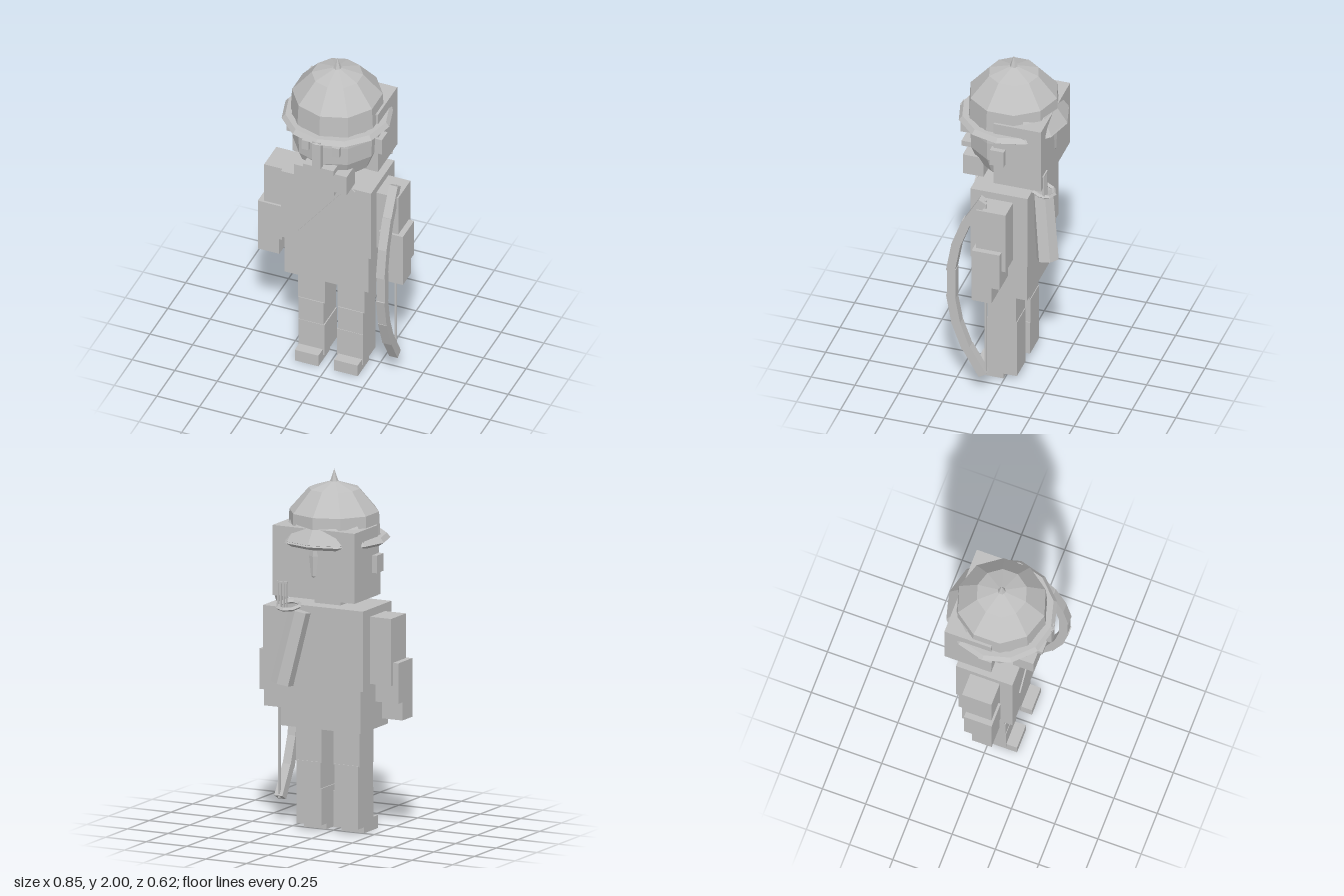
import * as THREE from 'three';

const grey = new THREE.MeshStandardMaterial({ color: 0xbfbfbf, flatShading: true, side: THREE.DoubleSide });
grey.name = 'plain grey';

function add(parent, name, geometry) {
  const mesh = new THREE.Mesh(geometry, grey);
  mesh.name = name;
  parent.add(mesh);
  return mesh;
}

// Box given by its lower and upper limits on each axis
function box(parent, name, x0, x1, y0, y1, z0, z1) {
  const mesh = add(parent, name, new THREE.BoxGeometry(x1 - x0, y1 - y0, z1 - z0));
  mesh.position.set((x0 + x1) / 2, (y0 + y1) / 2, (z0 + z1) / 2);
  return mesh;
}

// Matching boxes on both sides of the body
function pair(parent, name, x0, x1, ...rest) {
  box(parent, name + 'Left', x0, x1, ...rest);
  box(parent, name + 'Right', -x1, -x0, ...rest);
}

// Faceted surface of revolution about the head's axis, profile from bottom to top
function turned(parent, name, profile, sides, start = 0, sweep = Math.PI * 2) {
  const points = profile.map(([r, y]) => new THREE.Vector2(r, y));
  const mesh = add(parent, name, new THREE.LatheGeometry(points, sides, start, sweep));
  mesh.position.z = 0.008;
  return mesh;
}

// Prism or cone between two points
function rod(parent, name, a, b, rTop, rBottom, sides) {
  const from = new THREE.Vector3(...a), to = new THREE.Vector3(...b);
  const dir = to.clone().sub(from);
  const mesh = add(parent, name, new THREE.CylinderGeometry(rTop, rBottom, dir.length(), sides));
  mesh.position.copy(from).add(to).multiplyScalar(0.5);
  mesh.quaternion.setFromUnitVectors(new THREE.Vector3(0, 1, 0), dir.normalize());
  return mesh;
}

function group(parent, name) {
  const g = new THREE.Group();
  g.name = name;
  parent.add(g);
  return g;
}

export function createModel() {
  const model = new THREE.Group();
  model.name = 'archer';

  // Legs and feet
  const legs = group(model, 'legs');
  pair(legs, 'thigh', 0.037, 0.195, 0.38, 0.6, -0.068, 0.095);
  pair(legs, 'knee', 0.043, 0.19, 0.23, 0.385, -0.072, 0.1);
  pair(legs, 'shin', 0.037, 0.19, 0.035, 0.238, -0.072, 0.103);
  pair(legs, 'foot', 0.046, 0.185, 0, 0.072, 0.005, 0.165);

  // Tunic
  const body = group(model, 'body');
  box(body, 'torso', -0.265, 0.265, 0.82, 1.265, -0.158, 0.168);
  box(body, 'skirt', -0.247, 0.247, 0.585, 0.83, -0.15, 0.163);
  box(body, 'neck', -0.08, 0.08, 1.25, 1.32, -0.07, 0.09);
  const strap = add(body, 'chestStrap', new THREE.BoxGeometry(0.046, 0.49, 0.012));
  strap.position.set(0.005, 1.072, 0.17);
  strap.rotation.z = -0.66;

  // Arms
  const arms = group(model, 'arms');
  pair(arms, 'upperArm', 0.26, 0.394, 0.85, 1.222, -0.075, 0.095);
  pair(arms, 'forearm', 0.285, 0.426, 0.75, 0.975, -0.052, 0.108);
  pair(arms, 'hand', 0.3, 0.426, 0.65, 0.755, -0.005, 0.108);

  // Head
  const head = group(model, 'head');
  turned(head, 'skull', [[0, 1.27], [0.14, 1.298], [0.205, 1.355], [0.243, 1.45], [0.247, 1.56], [0.24, 1.64]], 10);
  box(head, 'hair', -0.252, 0.252, 1.32, 1.708, -0.23, 0.04);
  pair(head, 'ear', 0.24, 0.28, 1.455, 1.552, -0.027, 0.053);
  pair(head, 'eye', 0.068, 0.11, 1.518, 1.576, 0.19, 0.248);
  box(head, 'moustache', -0.09, 0.09, 1.41, 1.442, 0.2, 0.277);
  box(head, 'beard', -0.155, 0.155, 1.278, 1.4, 0.13, 0.248);
  box(head, 'beardTip', -0.08, 0.08, 1.25, 1.3, 0.14, 0.248);

  // Helmet
  const helmet = group(model, 'helmet');
  turned(helmet, 'dome', [[0.255, 1.62], [0.247, 1.772], [0.14, 1.895], [0, 1.94]], 10);
  turned(helmet, 'brim', [[0.25, 1.63], [0.275, 1.6], [0.305, 1.62], [0.285, 1.645], [0.25, 1.645]], 12);
  turned(helmet, 'neckGuard', [[0.26, 1.61], [0.303, 1.63], [0.24, 1.722], [0.2, 1.715]],
    4, Math.PI * 2 / 3, Math.PI * 2 / 3);
  box(helmet, 'noseGuard', -0.025, 0.025, 1.455, 1.632, 0.273, 0.305);
  rod(helmet, 'spike', [0, 1.915, 0.008], [0, 2, 0.008], 0, 0.029, 6);

  // Bow of seven straight links, bent back toward its tips
  const bow = group(model, 'bow');
  bow.position.set(0.36, 0.705, 0);
  const reach = [0.238, 0.228, 0.185, 0.106];
  const rise = [0, 0.167, 0.331, 0.489];
  for (let i = -3; i <= 3; i++) {
    const k = Math.abs(i);
    const link = add(bow, 'bowLink', new THREE.BoxGeometry(0.05, 0.185, 0.05));
    link.position.set(0, Math.sign(i) * rise[k], reach[k]);
    link.rotation.x = -i * Math.PI / 18;
  }
  box(bow, 'bowString', -0.006, 0.006, -0.57, 0.57, 0.043, 0.055);

  // Quiver with its rim and arrows
  const quiver = group(model, 'quiver');
  rod(quiver, 'quiverCase', [0.185, 0.84, -0.247], [0.105, 1.24, -0.19], 0.06, 0.063, 6);
  const rim = add(quiver, 'quiverRim', new THREE.TorusGeometry(0.062, 0.012, 4, 8));
  rim.position.set(0.16, 1.268, -0.215);
  rim.rotation.x = Math.PI / 2 - 0.2;
  for (let i = 0; i < 4; i++) {
    const x = 0.165 + i * 0.017;
    box(quiver, 'arrow', x - 0.004, x + 0.004, 1.25, 1.4, -0.238, -0.226);
  }
  box(quiver, 'fletching', 0.158, 0.224, 1.392, 1.402, -0.238, -0.226);

  return model;
}
